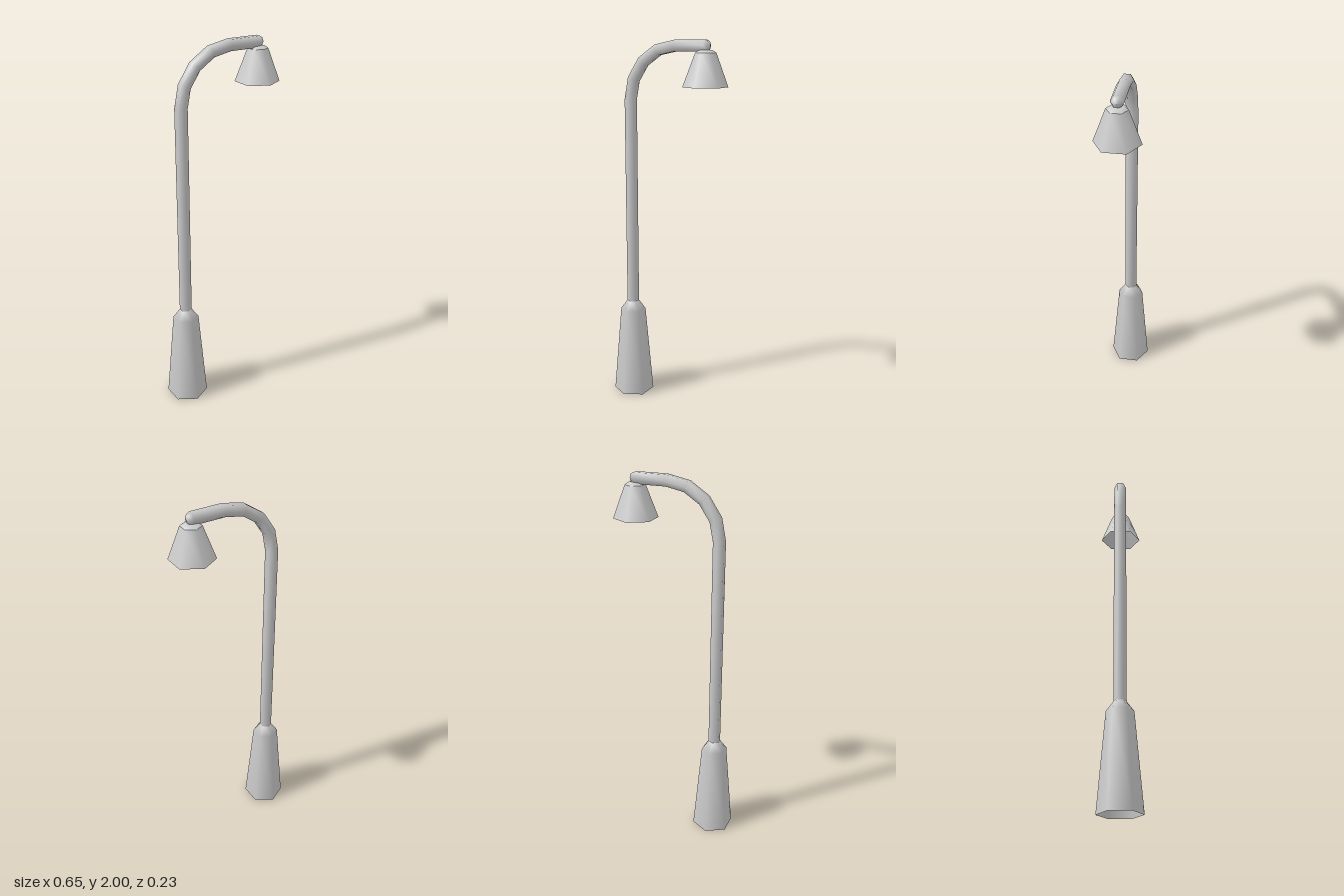
import * as THREE from 'three';

const SIDES = 6;
const POLE_X = -0.228, LAMP_X = 0.225;
const material = new THREE.MeshStandardMaterial({ color: 0xcccccc, side: THREE.DoubleSide });

// Six-sided turned part with corners facing front and back
function turned(name, x, profile) {
  const points = profile.map(([r, y]) => new THREE.Vector2(r, y));
  const mesh = new THREE.Mesh(new THREE.LatheGeometry(points, SIDES), material);
  mesh.name = name;
  mesh.position.x = x;
  return mesh;
}

// Skin over rings [x, y, lean from vertical, radius]
function sweep(rings) {
  const positions = [], index = [];
  rings.forEach(([x, y, lean, r], i) => {
    for (let j = 0; j < SIDES; j++) {
      const phi = (j / SIDES) * Math.PI * 2;
      const out = r * Math.sin(phi);
      positions.push(x - out * Math.cos(lean), y + out * Math.sin(lean), r * Math.cos(phi));
      if (i === 0) continue;
      const k = (j + 1) % SIDES;
      const a = (i - 1) * SIDES + j, b = (i - 1) * SIDES + k;
      const c = i * SIDES + j, d = i * SIDES + k;
      index.push(a, c, b, b, c, d);
    }
  });
  const geometry = new THREE.BufferGeometry();
  geometry.setAttribute('position', new THREE.Float32BufferAttribute(positions, 3));
  geometry.setIndex(index);
  geometry.computeVertexNormals();
  return geometry;
}

export function createModel() {
  const group = new THREE.Group();
  group.name = 'streetLamp';

  // Tapered hollow foot with a sloped collar
  group.add(turned('base', POLE_X, [[0.113, 0], [0.07, 0.5], [0.033, 0.55]]));

  // Straight pole, quarter bend, level arm and rounded tip
  const r = 0.033, bend = 0.28, armY = 1.972, steps = 4;
  const rings = [[POLE_X, 0.55, 0, r]];
  for (let i = 0; i <= steps; i++) {
    const a = (i / steps) * Math.PI / 2;
    rings.push([POLE_X + bend * (1 - Math.cos(a)), armY - bend * (1 - Math.sin(a)), a, r]);
  }
  for (const [x, s] of [[LAMP_X, 1], [0.243, 0.68], [0.25, 0.001]]) {
    rings.push([x, armY, Math.PI / 2, r * s]);
  }
  const pole = new THREE.Mesh(sweep(rings), material);
  pole.name = 'poleAndArm';
  group.add(pole);

  // Open shade with a low lid tucked under the arm
  group.add(turned('lampShade', LAMP_X, [[0.116, 1.77], [0.053, 1.938]]));
  group.add(turned('shadeLid', LAMP_X, [[0.053, 1.938], [0.036, 1.95], [0, 1.955]]));

  return group;
}
